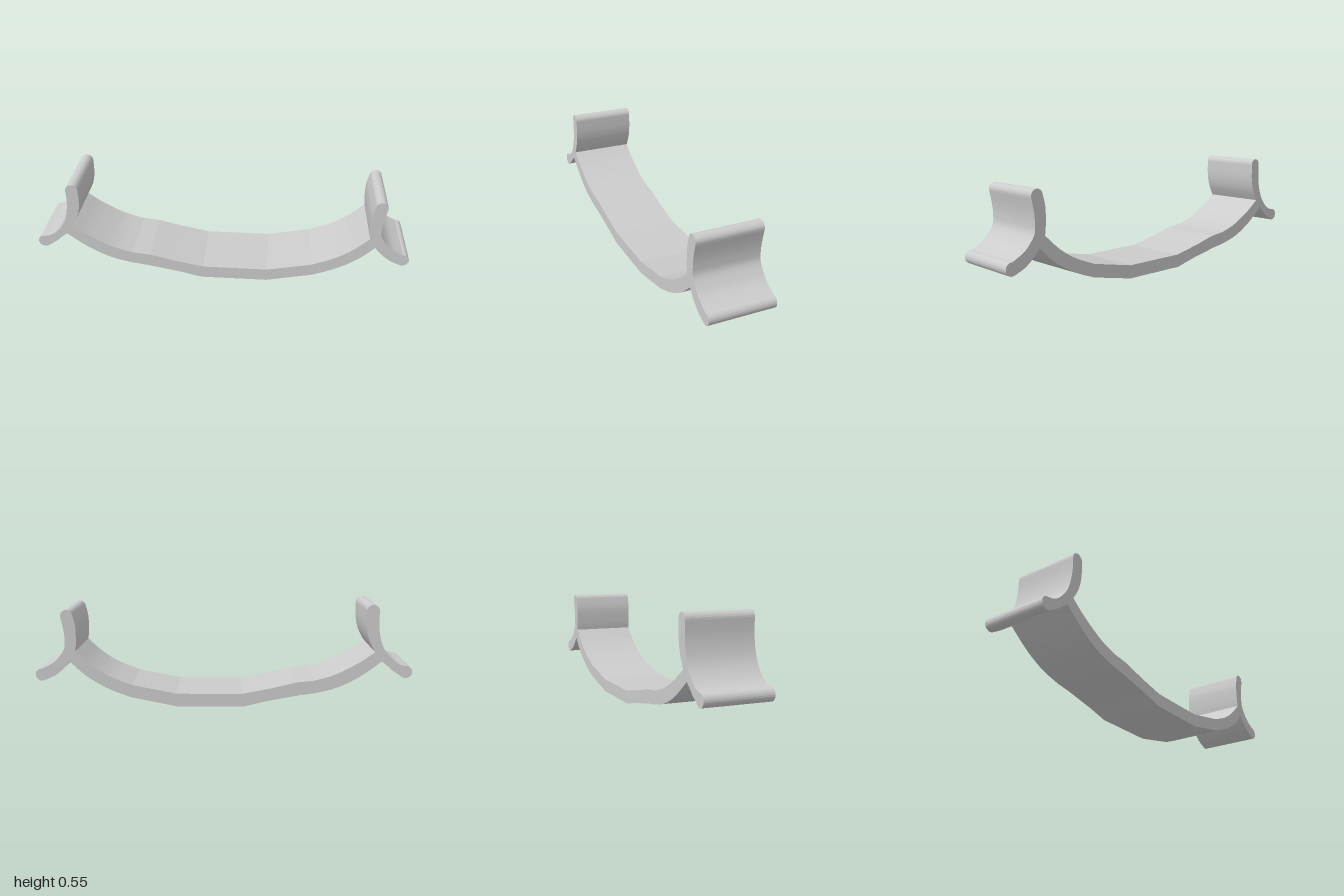
import * as THREE from 'three';

const DEPTH = 0.35;

export function createModel() {
  const group = new THREE.Group();
  group.name = 'curvedBracket';

  const s = new THREE.Shape();
  const curve = (...pts) => s.splineThru(pts.map(([x, y]) => new THREE.Vector2(x, y)));
  const lines = (...pts) => pts.forEach(([x, y]) => s.lineTo(x, y));
  const cap = (x, y, r, from, to) =>
    s.absarc(x, y, r, THREE.MathUtils.degToRad(from), THREE.MathUtils.degToRad(to), false);

  // underside of the band, left to right
  s.moveTo(-0.837, 0.25);
  curve([-0.725, 0.167], [-0.61, 0.108], [-0.49, 0.075]);
  lines([-0.41, 0.064], [-0.233, 0.03], [-0.11, 0], [0.25, 0], [0.495, 0.05]);
  curve([0.62, 0.1], [0.73, 0.167], [0.815, 0.245]);

  // outward foot at +x, with rounded tip
  curve([0.853, 0.203], [0.9, 0.167], [0.958, 0.141]);
  cap(0.967, 0.173, 0.033, -105, 95);

  // upright prong at +x, with rounded tip
  curve([0.91, 0.235], [0.874, 0.267], [0.842, 0.315], [0.837, 0.365], [0.842, 0.42], [0.854, 0.481]);
  cap(0.823, 0.49, 0.032, -15, 165);
  curve([0.778, 0.433], [0.778, 0.35], [0.783, 0.3]);

  // upper face of the band, right to left
  curve([0.7, 0.225], [0.607, 0.166], [0.49, 0.118]);
  lines([0.25, 0.07], [-0.1, 0.07], [-0.26, 0.102], [-0.39, 0.134], [-0.484, 0.144]);
  curve([-0.59, 0.176], [-0.714, 0.24], [-0.8, 0.3]);

  // upright prong at -x, with rounded tip
  curve([-0.767, 0.364], [-0.751, 0.433], [-0.749, 0.519]);
  cap(-0.782, 0.519, 0.033, 0, 180);

  // outward foot at -x, with rounded tip
  curve([-0.815, 0.444], [-0.826, 0.374], [-0.848, 0.316], [-0.885, 0.267], [-0.928, 0.235], [-0.978, 0.224]);
  cap(-0.967, 0.193, 0.033, 110, 300);
  curve([-0.9, 0.198], [-0.869, 0.225], [-0.837, 0.25]);

  // the whole profile drawn out along z
  const geometry = new THREE.ExtrudeGeometry(s, { depth: DEPTH, bevelEnabled: false, curveSegments: 6 });
  geometry.translate(0, 0, -DEPTH / 2);
  const body = new THREE.Mesh(geometry, new THREE.MeshStandardMaterial({ color: 0xcccccc }));
  body.name = 'bracketBody';
  group.add(body);
  return group;
}
